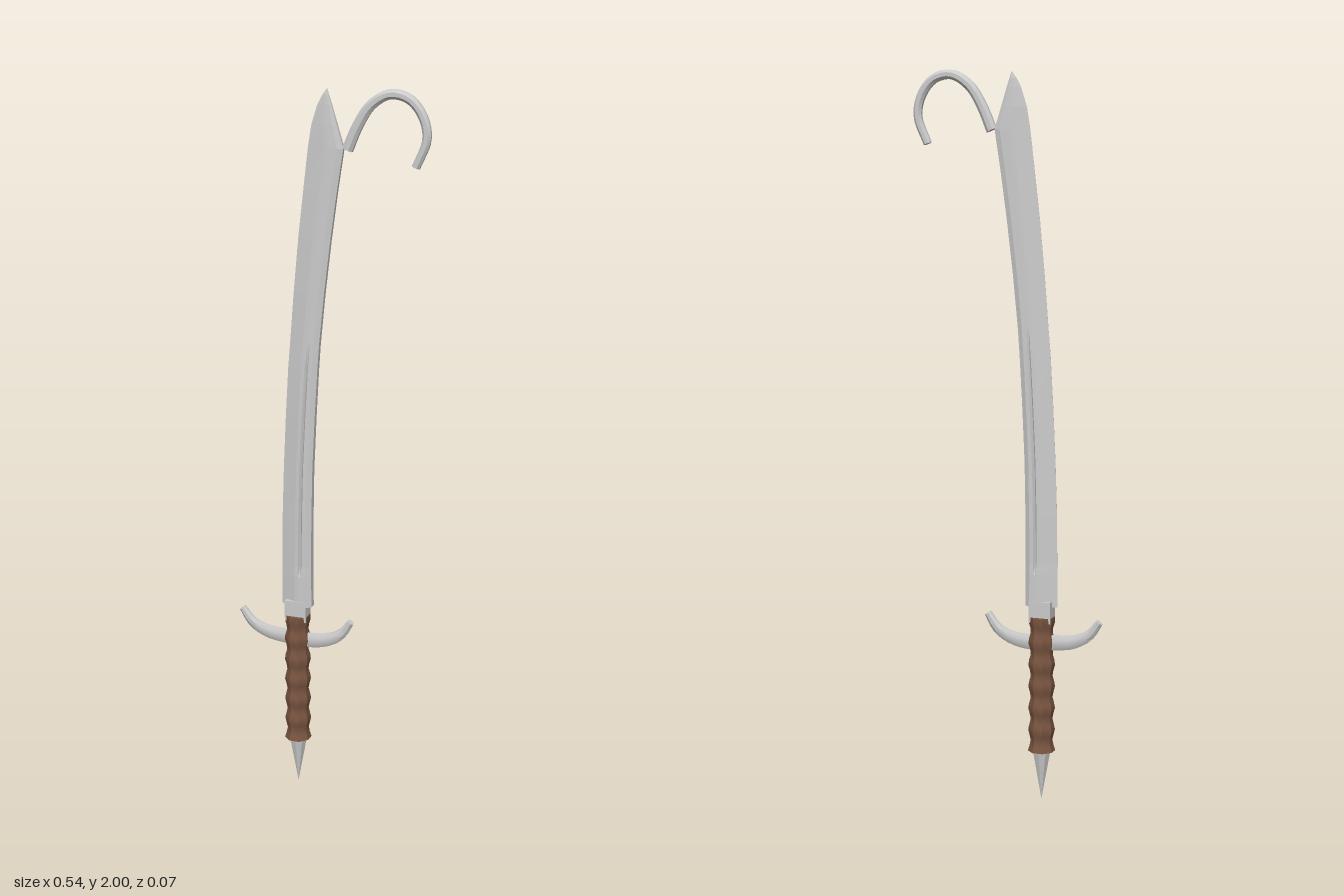
import * as THREE from 'three';
import { toCreasedNormals } from 'three/addons/utils/BufferGeometryUtils.js';

const steel = new THREE.MeshStandardMaterial({ color: 0xcccccc });
const flatSteel = new THREE.MeshStandardMaterial({ color: 0xcccccc, flatShading: true });
const leather = new THREE.MeshStandardMaterial({ color: 0x7a5540 });
const AXIS = -0.1; // x of the handle

// Closed skin through equal-sized rings, counter-clockwise about the travel direction
function loft(rings) {
  const n = rings[0].length, last = (rings.length - 1) * n, index = [];
  for (let i = 0; i < rings.length - 1; i++) {
    for (let j = 0; j < n; j++) {
      const a = i * n + j, b = i * n + (j + 1) % n;
      index.push(a, b, b + n, a, b + n, a + n);
    }
  }
  // End caps, zipped between the two sides of the ring
  for (let j = 0; j < n / 2 - 1; j++) {
    const p = j, q = j + 1, r = n - 1 - j, s = n - 2 - j;
    index.push(p, r, q, q, r, s);
    index.push(last + p, last + q, last + r, last + q, last + s, last + r);
  }
  const geo = new THREE.BufferGeometry();
  geo.setAttribute('position', new THREE.Float32BufferAttribute(rings.flat(2), 3));
  geo.setIndex(index);
  geo.computeVertexNormals();
  return geo;
}

// Eight-sided bar along a curve in the xy plane; size(u) gives [in-plane, z] radii
function bar(points, steps, size) {
  const curve = new THREE.CatmullRomCurve3(points.map(([x, y]) => new THREE.Vector3(x, y, 0)));
  const rings = [];
  for (let i = 0; i <= steps; i++) {
    const u = i / steps, p = curve.getPointAt(u), t = curve.getTangentAt(u);
    const [rn, rz] = size(u);
    rings.push(Array.from({ length: 8 }, (_, k) => {
      const a = (k + 0.5) * Math.PI / 4, c = Math.cos(a) * rn;
      return [p.x - t.y * c, p.y + t.x * c, Math.sin(a) * rz];
    }));
  }
  return toCreasedNormals(loft(rings), 0.6);
}

// Blade: sharp edge on -x, blunt spine on +x, a fuller on both faces
function bladeGeometry() {
  // y, edge x, spine x, half thickness, fuller depth (0..1)
  const rows = [
    [0.55, -0.145, -0.055, 0.019, 0], [0.64, -0.145, -0.056, 0.019, 0],
    [0.67, -0.144, -0.056, 0.018, 1], [0.8, -0.143, -0.055, 0.018, 1],
    [0.95, -0.138, -0.052, 0.017, 1], [1.1, -0.131, -0.045, 0.016, 1],
    [1.24, -0.123, -0.037, 0.015, 0.8], [1.31, -0.117, -0.032, 0.0145, 0],
    [1.45, -0.106, -0.018, 0.0135, 0], [1.6, -0.092, 0.0, 0.0125, 0],
    [1.73, -0.077, 0.018, 0.0115, 0], [1.84, -0.064, 0.035, 0.011, 0],
    [1.9, -0.054, 0.017, 0.009, 0], [1.95, -0.038, 0.002, 0.006, 0],
    [1.975, -0.025, -0.006, 0.004, 0], [1.992, -0.012, -0.011, 0.0005, 0],
  ];
  const rings = rows.map(([y, edge, spine, t, dip]) => {
    const side = [
      [0, 0.03], [0.48, 0.92], [0.6, 1], [0.66, 1 - 0.45 * dip],
      [0.72, 1], [0.84, 1], [1, 0.5],
    ].map(([s, z]) => [edge + (spine - edge) * s, y, z * t]);
    return [...side, ...side.map(([x, h, z]) => [x, h, -z]).reverse()];
  });
  return loft(rings);
}

export function createModel() {
  const group = new THREE.Group();
  const add = (name, geometry, material, x = 0, y = 0) => {
    const mesh = new THREE.Mesh(geometry, material);
    mesh.name = name;
    mesh.position.set(x, y, 0);
    group.add(mesh);
  };

  add('blade', bladeGeometry(), flatSteel);
  add('bladeCollar', new THREE.BoxGeometry(0.062, 0.06, 0.042), steel, AXIS, 0.535);

  // Hook curling off the spine near the tip
  add('hook', bar([
    [0.045, 1.838], [0.072, 1.9], [0.108, 1.955], [0.16, 1.985], [0.212, 1.974],
    [0.248, 1.93], [0.258, 1.875], [0.23, 1.802],
  ], 32, (u) => {
    const r = 0.0155 - 0.004 * u;
    return [r, 0.0135 - 0.002 * u];
  }), steel);

  // Upswept crossguard, thickest at the handle
  add('crossguard', bar([
    [-0.266, 0.518], [-0.235, 0.478], [-0.19, 0.456], [-0.14, 0.45], [-0.1, 0.448],
    [-0.05, 0.447], [-0.005, 0.457], [0.03, 0.478], [0.058, 0.518],
  ], 24, (u) => {
    const k = Math.sin(Math.PI * u);
    return [0.01 + 0.013 * k, 0.0105];
  }), steel);

  // Ribbed octagonal grip, flared at the butt
  const profile = [[0, 0.14], [0.038, 0.14]];
  for (let i = 1; i <= 25; i++) {
    const y = 0.14 + i * 0.0152;
    profile.push([0.0335 - 0.0035 * Math.cos((y - 0.17) / 0.062 * Math.PI * 2), y]);
  }
  profile.push([0, 0.52]);
  const grip = new THREE.LatheGeometry(profile.map(([r, y]) => new THREE.Vector2(r, y)), 8, Math.PI / 8);
  add('grip', toCreasedNormals(grip, 0.6), leather, AXIS);

  // Pommel spike pointing down
  const spike = new THREE.ConeGeometry(0.026, 0.14, 8);
  spike.rotateX(Math.PI);
  add('pommelSpike', toCreasedNormals(spike, 0.5), steel, AXIS, 0.07);

  return group;
}
